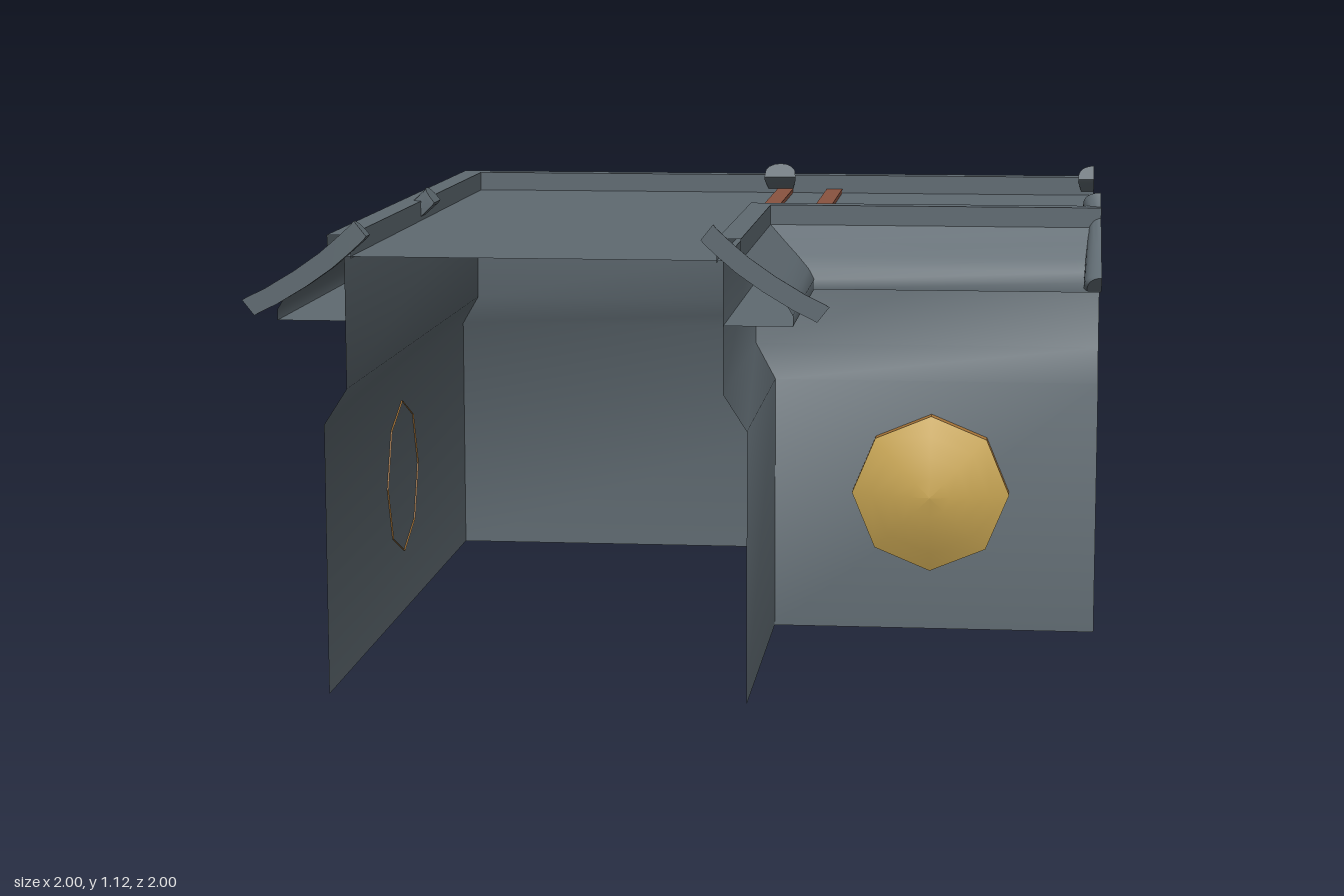
import * as THREE from 'three';
import { toCreasedNormals } from 'three/addons/utils/BufferGeometryUtils.js';

const material = (name, color) => new THREE.MeshStandardMaterial({ name, color, side: THREE.DoubleSide });

const OUTER = -0.755; // upper face of the outer walls
const INNER = 0.125;  // upper face of the inner walls

// Join rows of points into a surface with smooth curves and sharp edges
function loft(rows, crease = 0.6) {
  const pos = [];
  for (let i = 0; i < rows.length - 1; i++) {
    for (let j = 0; j < rows[i].length - 1; j++) {
      const a = rows[i][j], b = rows[i][j + 1], c = rows[i + 1][j + 1], d = rows[i + 1][j];
      pos.push(...a, ...b, ...c, ...a, ...c, ...d);
    }
  }
  const g = new THREE.BufferGeometry();
  g.setAttribute('position', new THREE.Float32BufferAttribute(pos, 3));
  return toCreasedNormals(g, crease);
}

// Sweep an [offset, height] profile around the mitred corner
function cornerSweep(profile, base, sign) {
  const at = (o) => base + sign * o;
  return loft([
    profile.map(([o, y]) => [at(o), y, 1]),
    profile.map(([o, y]) => [at(o), y, at(o)]),
    profile.map(([o, y]) => [1, y, at(o)]),
  ]);
}

// Flared half-round tile lying down the eave; from/to are the swept angles
function capTile(from, to) {
  const stations = [ // offset, height of underside, half width
    [0.215, 0.9, 0.036], [0.205, 0.906, 0.044], [0.16, 0.928, 0.042],
    [0.09, 0.97, 0.038], [0.03, 1.012, 0.034], [-0.01, 1.046, 0.033],
    [-0.045, 1.078, 0.044], [-0.052, 1.087, 0.044],
  ];
  const n = 8;
  const rows = stations.map(([o, y, w]) => {
    const row = [];
    for (let i = 0; i <= n; i++) {
      const a = from + ((to - from) * i) / n;
      const h = 0.046 * Math.pow(Math.max(0, Math.sin(a)), 0.7);
      row.push([o + 0.62 * h, y + 0.78 * h, w * Math.cos(a)]);
    }
    row.push([o, y, 0], row[0]); // close the underside
    return row;
  });
  const cap = (row) => row.map(() => row[row.length - 2]);
  return loft([cap(rows[0]), ...rows, cap(rows[rows.length - 1])], 0.7);
}

export function createModel() {
  const model = new THREE.Group();
  const slate = material('slate', 0x5f6a71);
  const gold = material('gold', 0xc9a653);
  const bronze = material('bronze', 0xa8763a);
  const rust = material('rust', 0x8a5340);

  const add = (name, geometry, mat, parent = model) => {
    const mesh = new THREE.Mesh(geometry, mat);
    mesh.name = name;
    parent.add(mesh);
    return mesh;
  };

  // Walls and eaves on both sides of the corner
  const wall = [[0.055, 0], [0.055, 0.645], [0, 0.73], [0, 1.04]];
  const eave = [[0, 0.89], [0.16, 0.89], [0.16, 0.915], [0.145, 0.94], [0.115, 0.97],
    [0.08, 1.002], [0.04, 1.04], [0.04, 1.09], [-0.015, 1.09], [-0.015, 1.035]];
  for (const [side, base, sign] of [['outer', OUTER, -1], ['inner', INNER, 1]]) {
    add(side + 'Wall', cornerSweep(wall, base, sign), slate);
    add(side + 'Eave', cornerSweep(eave, base, sign), slate);
  }

  // Flat L-shaped roof
  const o = OUTER, i = INNER;
  const outline = [[o, -1], [i, -1], [i, -i], [1, -i], [1, -o], [o, -o]];
  const roof = new THREE.ShapeGeometry(new THREE.Shape(outline.map(([x, y]) => new THREE.Vector2(x, y))));
  roof.rotateX(-Math.PI / 2).translate(0, 1.04, 0);
  add('roof', roof, slate);

  // Roof strips
  for (const x of [0.133, 0.272]) {
    add('roofStrip', new THREE.BoxGeometry(0.044, 0.016, 0.85), rust).position.set(x, 1.043, -0.315);
  }

  // Cap tiles: whole ones mid-wall, halves at the open ends
  const whole = capTile(0, Math.PI);
  const half = capTile(Math.PI / 2, Math.PI);
  const placeTile = (geometry, along, base, sign) => {
    const a = add('capTile', geometry.clone().scale(sign, 1, 1).translate(base, 0, along), slate);
    a.updateMatrix();
    // Same tile on the other arm, with x and z swapped
    const swapped = geometry.clone().scale(sign, 1, 1).translate(base, 0, along);
    swapped.applyMatrix4(new THREE.Matrix4().set(0, 0, 1, 0, 0, 1, 0, 0, 1, 0, 0, 0, 0, 0, 0, 1));
    const p = swapped.attributes.position;
    // Restore winding where the swap and mirror reverse it
    p.needsUpdate = true;
    add('capTile', swapped, slate);
  };
  placeTile(whole, 0.12, OUTER, -1);
  placeTile(half, 1, OUTER, -1);
  placeTile(half, 1, INNER, 1);
  model.traverse((m) => {
    if (m.isMesh && m.name === 'capTile') {
      m.geometry.deleteAttribute('normal');
      m.geometry = toCreasedNormals(m.geometry, 0.7);
    }
  });

  // Octagonal medallions
  const face = new THREE.LatheGeometry(
    [[0.2, 0.038], [0.15, 0.06], [0.1, 0.078], [0.05, 0.091], [0, 0.098]].map(([x, y]) => new THREE.Vector2(x, y)), 8);
  const rim = toCreasedNormals(new THREE.CylinderGeometry(0.2, 0.2, 0.042, 8, 1, true), 0.3);
  rim.translate(0, 0.017, 0);
  for (const g of [face, rim]) g.rotateX(Math.PI / 2);
  for (const [x, z, turn] of [[0.58, 0.18, 0], [0.58, -0.81, Math.PI], [-0.81, 0.1, -Math.PI / 2]]) {
    const medallion = new THREE.Group();
    medallion.name = 'medallion';
    add('medallionFace', face, gold, medallion);
    add('medallionRim', rim, bronze, medallion);
    medallion.position.set(x, 0.36, z);
    medallion.rotation.y = turn;
    model.add(medallion);
  }
  return model;
}
